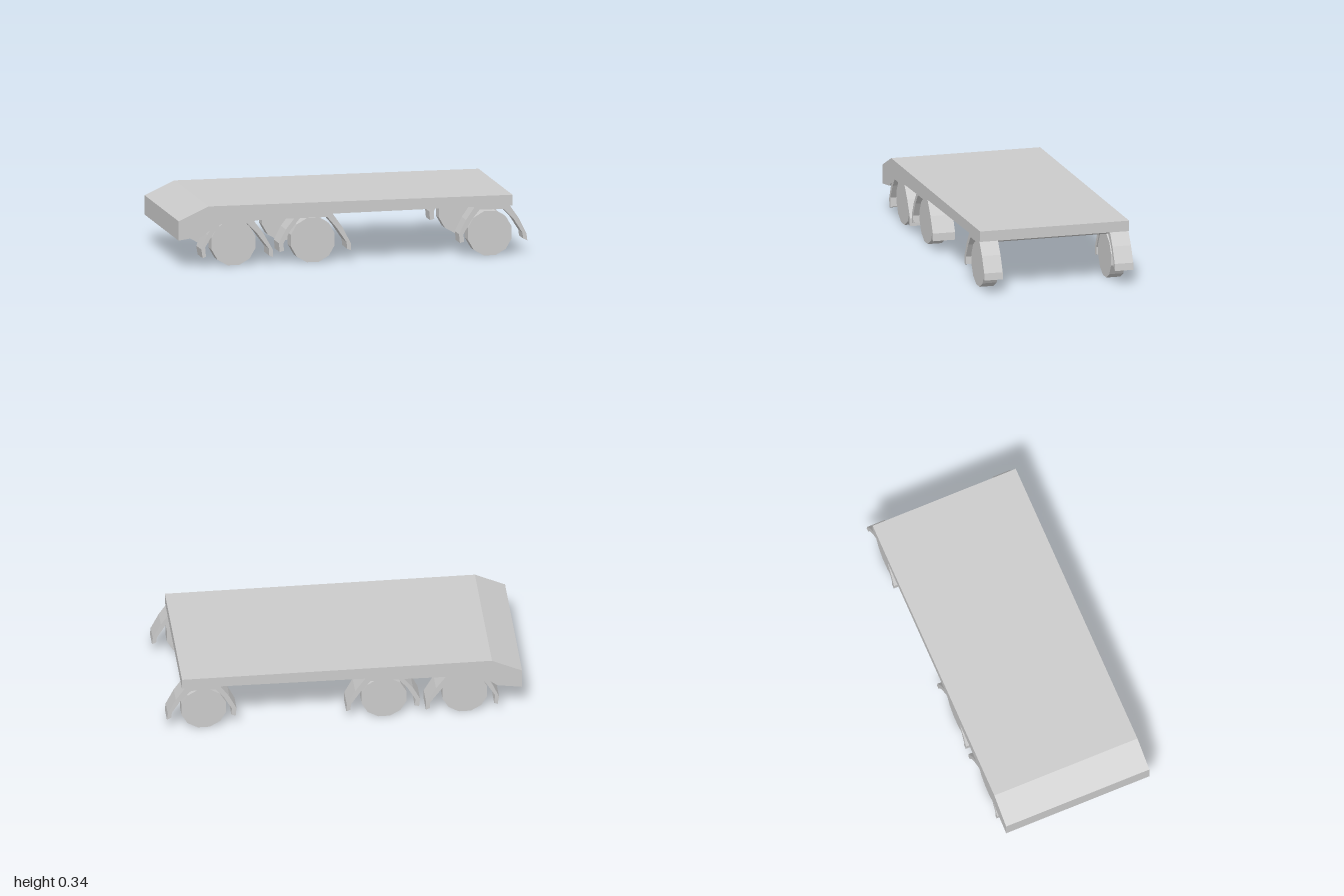
import * as THREE from 'three';

const material = new THREE.MeshStandardMaterial({ color: 0xcccccc, flatShading: true });
const HALF = 0.435;

function addMesh(parent, name, geometry) {
  const mesh = new THREE.Mesh(geometry, material);
  mesh.name = name;
  parent.add(mesh);
  return mesh;
}

// Hull cross-sections along x: [x, top, bottom at the sides, bottom on the centre line]
const stations = [
  [-1, 0.265, 0.155, 0.155],
  [-0.86, 0.329, 0.176, 0.176],
  [-0.83, 0.343, 0.2, 0.2],
  [-0.76, 0.343, 0.237, 0.237],
  [-0.6, 0.343, 0.237, 0.237],
  [-0.575, 0.343, 0.252, 0.23],
  [-0.54, 0.343, 0.254, 0.214],
  [-0.33, 0.343, 0.257, 0.254],
  [-0.15, 0.343, 0.257, 0.257],
  [-0.12, 0.343, 0.275, 0.267],
  [-0.03, 0.343, 0.276, 0.272],
  [0.69, 0.343, 0.283, 0.266],
  [0.72, 0.343, 0.265, 0.265],
  [0.87, 0.343, 0.265, 0.265],
  [0.895, 0.343, 0.283, 0.283],
  [0.915, 0.343, 0.283, 0.283],
];

function hullGeometry() {
  const rings = stations.map(([x, top, side, mid]) => [
    [x, top, HALF], [x, top, -HALF], [x, side, -HALF], [x, mid, 0], [x, side, HALF],
  ]);
  const positions = [];
  const tri = (...corners) => corners.forEach((c) => positions.push(...c));
  for (let i = 0; i < rings.length - 1; i++) {
    for (let j = 0; j < 5; j++) {
      const k = (j + 1) % 5;
      const [a, b] = [rings[i][j], rings[i][k]];
      const [d, e] = [rings[i + 1][j], rings[i + 1][k]];
      tri(a, d, b);
      tri(b, d, e);
    }
  }
  // End caps
  const first = rings[0], last = rings[rings.length - 1];
  for (let j = 1; j < 4; j++) {
    tri(first[0], first[j], first[j + 1]);
    tri(last[0], last[j + 1], last[j]);
  }
  const geometry = new THREE.BufferGeometry();
  geometry.setAttribute('position', new THREE.Float32BufferAttribute(positions, 3));
  geometry.computeVertexNormals();
  return geometry;
}

// Each axle: wheel position, inner face of its fenders, and fender outlines
// running from the lower tip up the outside and back down the inside
const axles = [
  {
    name: 'front', x: -0.68, inner: 0.305,
    fenders: [
      [[-0.862, 0.05], [-0.87, 0.1], [-0.835, 0.18], [-0.8, 0.24], [-0.76, 0.24], [-0.8, 0.19], [-0.848, 0.11], [-0.843, 0.058]],
      [[-0.458, 0.04], [-0.46, 0.085], [-0.515, 0.18], [-0.575, 0.26], [-0.61, 0.24], [-0.555, 0.185], [-0.483, 0.09], [-0.48, 0.05]],
    ],
  },
  {
    name: 'middle', x: -0.225, inner: 0.305,
    fenders: [
      [[-0.42, 0.068], [-0.425, 0.118], [-0.385, 0.195], [-0.33, 0.265], [-0.3, 0.262], [-0.355, 0.195], [-0.4, 0.115], [-0.395, 0.075]],
      [[-0.01, 0.062], [-0.013, 0.105], [-0.06, 0.195], [-0.12, 0.28], [-0.15, 0.26], [-0.095, 0.195], [-0.037, 0.11], [-0.033, 0.072]],
    ],
  },
  {
    name: 'rear', x: 0.79, inner: 0.327,
    fenders: [
      [[0.613, 0.08], [0.608, 0.13], [0.648, 0.21], [0.7, 0.285], [0.73, 0.27], [0.68, 0.21], [0.634, 0.13], [0.637, 0.087]],
      [[1, 0.08], [0.995, 0.12], [0.95, 0.21], [0.898, 0.285], [0.86, 0.268], [0.918, 0.21], [0.972, 0.125], [0.976, 0.092]],
    ],
  },
];

function fenderGeometry(points, depth) {
  const shape = new THREE.Shape(points.map(([x, y]) => new THREE.Vector2(x, y)));
  return new THREE.ExtrudeGeometry(shape, { depth, bevelEnabled: false });
}

export function createModel() {
  const model = new THREE.Group();
  model.name = 'wheeledPlatform';
  addMesh(model, 'deck', hullGeometry());

  // Twelve-sided wheels resting on a flat facet
  const wheel = new THREE.CylinderGeometry(0.13, 0.13, 0.082, 12);
  wheel.rotateX(Math.PI / 2);
  wheel.rotateZ(Math.PI / 12);
  const wheelY = 0.13 * Math.cos(Math.PI / 12);

  for (const axle of axles) {
    const group = new THREE.Group();
    group.name = `${axle.name}Axle`;
    model.add(group);
    const depth = HALF - axle.inner;
    for (const side of [1, -1]) {
      const label = side > 0 ? 'Front' : 'Back';
      addMesh(group, `wheel${label}`, wheel).position.set(axle.x, wheelY, side * 0.37);
      for (const points of axle.fenders) {
        const fender = addMesh(group, `fender${label}`, fenderGeometry(points, depth));
        fender.position.z = side > 0 ? axle.inner : -HALF;
      }
    }
  }
  return model;
}
